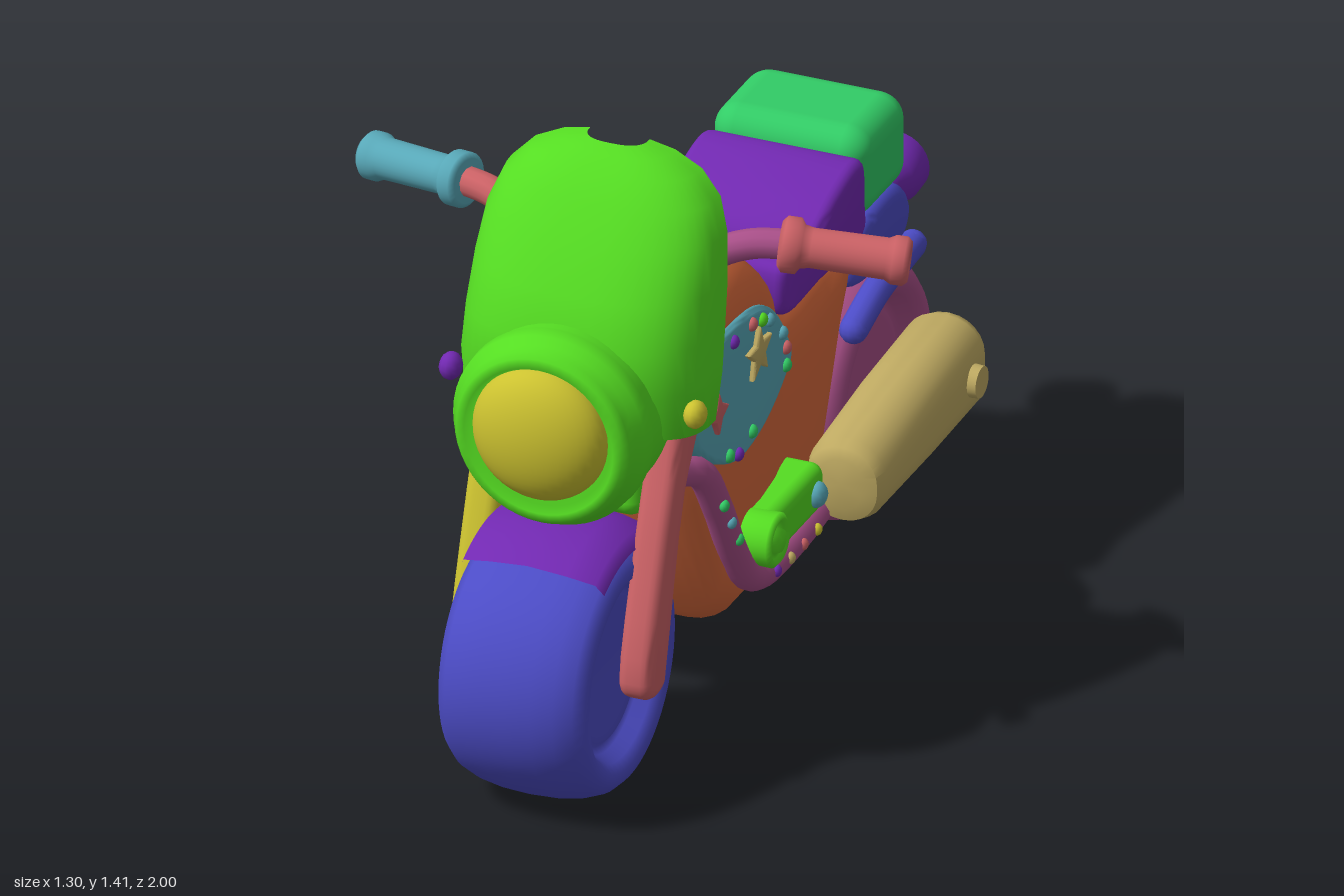
import * as THREE from 'three';
import { toCreasedNormals } from 'three/addons/utils/BufferGeometryUtils.js';
import { RoundedBoxGeometry } from 'three/addons/geometries/RoundedBoxGeometry.js';

const mat = (name, color, side = THREE.FrontSide) => {
  const m = new THREE.MeshStandardMaterial({ color, side });
  m.name = name;
  return m;
};
const V = (x, y, z) => new THREE.Vector3(x, y, z);

// Closed skin through rings of points, with fan caps when asked for
function loft(rings, caps = true) {
  const n = rings[0].length, pos = [], idx = [];
  rings.forEach(r => r.forEach(p => pos.push(p.x, p.y, p.z)));
  for (let k = 0; k < rings.length - 1; k++) for (let i = 0; i < n; i++) {
    const a = k * n + i, b = k * n + (i + 1) % n;
    idx.push(a, b, a + n, b, b + n, a + n);
  }
  if (caps) [0, rings.length - 1].forEach(k => {
    const c = pos.length / 3, m = V(0, 0, 0);
    rings[k].forEach(p => m.addScaledVector(p, 1 / n));
    pos.push(m.x, m.y, m.z);
    for (let i = 0; i < n; i++) {
      const a = k * n + i, b = k * n + (i + 1) % n;
      if (k) idx.push(c, a, b); else idx.push(c, b, a);
    }
  });
  const g = new THREE.BufferGeometry();
  g.setAttribute('position', new THREE.Float32BufferAttribute(pos, 3));
  g.setIndex(idx);
  return toCreasedNormals(g, 0.9);
}

// Rounded rectangle ring at a given z
function roundRing(z, yb, yt, w, rad) {
  const h = (yt - yb) / 2, cy = (yt + yb) / 2, r = Math.min(rad, h * 0.95, w * 0.95), pts = [];
  [[1, 1], [-1, 1], [-1, -1], [1, -1]].forEach(([sx, sy], q) => {
    for (let i = 0; i <= 6; i++) {
      const a = (q + i / 6) * Math.PI / 2;
      pts.push(V(sx * (w - r) + r * Math.cos(a), cy + sy * (h - r) + r * Math.sin(a), z));
    }
  });
  return pts;
}

// Side outline given as [z, y], extruded across x and centred on x = 0
function sideShape(points, width, bevel, smooth = true) {
  const shape = new THREE.Shape();
  const p = points.map(([z, y]) => new THREE.Vector2(-z, y));
  if (smooth) {
    const c = new THREE.CatmullRomCurve3(p.map(q => V(q.x, q.y, 0)), true, 'centripetal');
    shape.setFromPoints(c.getPoints(48).slice(0, -1).map(q => new THREE.Vector2(q.x, q.y)));
  } else shape.setFromPoints(p);
  const depth = width - 2 * bevel;
  const g = new THREE.ExtrudeGeometry(shape, {
    depth, bevelEnabled: bevel > 0, bevelThickness: bevel, bevelSize: bevel, bevelOffset: -bevel, bevelSegments: 4,
  });
  g.translate(0, 0, -depth / 2).rotateY(Math.PI / 2);
  return toCreasedNormals(g, 0.8);
}

const lathe = (pts, seg = 40, start = 0, len = Math.PI * 2) =>
  new THREE.LatheGeometry(pts.map(([r, h]) => new THREE.Vector2(r, h)), seg, start, len);

function star(cz, cy, points, r, inner) {
  const pts = [];
  for (let i = 0; i < points * 2; i++) {
    const a = Math.PI / 2 + i * Math.PI / points, q = i % 2 ? r * inner : r;
    pts.push([cz + q * Math.cos(a), cy + q * Math.sin(a)]);
  }
  return sideShape(pts, 0.03, 0.006, false);
}

export function createModel() {
  const model = new THREE.Group();
  model.name = 'motorcycle';
  const M = {
    green: mat('lime green', 0x55dd22), blue: mat('blue', 0x4c4cc6), pink: mat('mauve pink', 0xa84f88),
    orange: mat('orange', 0xd96a3c), teal: mat('teal', 0x58a8b8), tan: mat('tan', 0xbfaa62),
    red: mat('coral red', 0xcc6266), yellow: mat('yellow', 0xccc230),
    purple: mat('purple', 0x7229b2, THREE.DoubleSide), emerald: mat('emerald', 0x32cc66),
  };
  const add = (name, geo, color, x = 0, y = 0, z = 0) => {
    const m = new THREE.Mesh(geo, M[color]);
    m.name = name;
    m.position.set(x, y, z);
    model.add(m);
    return m;
  };
  const tube = (name, pts, r, color) => {
    add(name, new THREE.TubeGeometry(new THREE.CatmullRomCurve3(pts), 32, r, 12), color);
    [pts[0], pts[pts.length - 1]].forEach(p => add(name + 'End', new THREE.SphereGeometry(r, 12, 8), color, p.x, p.y, p.z));
  };
  const dot = (name, color, x, y, z, r = 0.016) =>
    add(name, new THREE.SphereGeometry(r, 12, 8), color, x, y, z).scale.x = 0.8;

  // Wheels: fat tyre with a recessed hub
  const half = [[0, 0.12], [0.15, 0.12], [0.165, 0.125], [0.175, 0.115], [0.19, 0.125], [0.205, 0.155],
    [0.225, 0.172], [0.25, 0.172], [0.272, 0.15], [0.288, 0.11], [0.297, 0.06]];
  const tyre = [...half.map(([r, h]) => [r, -h]), [0.3, 0], ...half.slice().reverse()];
  const wheel = () => lathe(tyre, 56).rotateZ(Math.PI / 2);
  add('frontWheel', wheel(), 'blue', 0, 0.3, 0.705).scale.set(1, 1, 0.98);
  add('rearWheel', wheel(), 'pink', 0, 0.31, -0.7).scale.set(0.97, 1.03, 1);
  add('frontFender', lathe([[0.285, -0.17], [0.318, -0.155], [0.332, -0.09], [0.343, 0], [0.332, 0.09], [0.318, 0.155],
    [0.285, 0.17]], 20, 1.08, 1.0).rotateZ(Math.PI / 2), 'purple', 0, 0.3, 0.705);

  // Tank and lower body in one lofted hull: z, bottom, top, half width
  const hull = [[-0.54, 0.68, 0.78, 0.16], [-0.46, 0.52, 0.78, 0.17], [-0.4, 0.36, 0.78, 0.17], [-0.33, 0.22, 0.78, 0.175],
    [-0.25, 0.175, 0.78, 0.18], [-0.11, 0.165, 0.79, 0.185], [-0.07, 0.165, 0.87, 0.19], [-0.02, 0.165, 0.96, 0.2],
    [0.08, 0.165, 1.03, 0.21], [0.18, 0.165, 1.055, 0.21], [0.28, 0.23, 1.06, 0.21], [0.38, 0.48, 1.05, 0.2],
    [0.44, 0.62, 1.035, 0.18], [0.47, 0.72, 1.0, 0.14]];
  add('body', loft(hull.map(h => roundRing(...h, 0.13))), 'orange');

  // Seat, backrest and tail
  add('seat', sideShape([[-0.1, 0.88], [-0.12, 0.9], [-0.25, 0.895], [-0.38, 0.94], [-0.5, 0.963], [-0.54, 0.95],
    [-0.55, 0.86], [-0.545, 0.775], [-0.3, 0.768], [-0.13, 0.77], [-0.105, 0.79]], 0.38, 0.025), 'purple');
  add('backrest', new RoundedBoxGeometry(0.37, 0.22, 0.265, 5, 0.06), 'emerald', 0, 0.893, -0.67);
  add('tail', sideShape([[-0.5, 0.66], [-0.53, 0.76], [-0.62, 0.79], [-0.77, 0.78], [-0.82, 0.71], [-0.79, 0.65],
    [-0.65, 0.63]], 0.36, 0.03), 'blue');

  // Headlight: stepped housing, domed lens and lower bracket
  add('headlightHousing', lathe([[0, 0.44], [0.18, 0.45], [0.215, 0.5], [0.22, 0.69], [0.228, 0.71], [0.226, 0.745],
    [0.207, 0.755], [0.206, 0.785], [0.195, 0.8], [0.175, 0.805], [0.16, 0.79], [0, 0.79]], 48).rotateX(Math.PI / 2),
  'green', 0, 0.875, 0);
  add('headlightLens', new THREE.SphereGeometry(0.157, 40, 24), 'yellow', 0, 0.89, 0.79).scale.z = 0.53;
  add('steeringBracket', new RoundedBoxGeometry(0.32, 0.14, 0.16, 4, 0.04), 'green', 0, 0.69, 0.54);

  // Windshield: curved shell, y, half width, front z, back z, thickness
  const shell = [[0.83, 0.27, 0.64, 0.52, 0], [0.84, 0.285, 0.67, 0.5, 0.03], [0.95, 0.292, 0.7, 0.48, 0.03],
    [1.05, 0.288, 0.69, 0.455, 0.03], [1.15, 0.283, 0.645, 0.43, 0.03], [1.25, 0.272, 0.58, 0.405, 0.03],
    [1.32, 0.245, 0.53, 0.38, 0.03], [1.37, 0.195, 0.485, 0.365, 0.03], [1.4, 0.13, 0.445, 0.36, 0.025], [1.412, 0.07, 0.41, 0.36, 0]];
  const arc = (y, w, zf, zb) => Array.from({ length: 25 }, (_, i) => {
    const a = (i / 24 - 0.5) * Math.PI, s = Math.sin(a);
    return V(w * Math.sign(s) * Math.abs(s) ** 0.75, y, zb + (zf - zb) * Math.max(0, Math.cos(a)) ** 0.75);
  });
  add('windshield', loft(shell.map(([y, w, zf, zb, t]) =>
    [...arc(y, w, zf, zb), ...arc(y, w - t, zf - t, zb).reverse()]), false), 'green');

  // Outlines shared by both sides
  const forkOutline = [[0.755, 0.3], [0.74, 0.262], [0.7, 0.25], [0.66, 0.265], [0.645, 0.31], [0.545, 0.68],
    [0.465, 0.82], [0.445, 0.98], [0.5, 1.0], [0.56, 0.9], [0.62, 0.74], [0.67, 0.6]];
  const panelOutline = [[0.465, 0.91], [0.43, 0.932], [0.27, 0.938], [0.12, 0.92], [0.03, 0.87], [-0.04, 0.78],
    [-0.065, 0.72], [-0.01, 0.665], [0.1, 0.61], [0.22, 0.595], [0.31, 0.625], [0.4, 0.68], [0.465, 0.75]];
  const panelDots = [[0.385, 0.9, 'tan'], [0.265, 0.905, 'purple'], [0.165, 0.9, 'red'], [0.11, 0.885, 'green'],
    [0.07, 0.865, 'teal'], [0.0, 0.8, 'teal'], [-0.02, 0.755, 'red'], [-0.02, 0.712, 'emerald'],
    [0.29, 0.64, 'emerald'], [0.24, 0.62, 'purple'], [0.165, 0.64, 'emerald']];
  const frameDots = [[0.385, 0.57, 'emerald'], [0.345, 0.51, 'teal'], [0.305, 0.45, 'emerald'], [0.1, 0.275, 'purple'],
    [0.025, 0.27, 'tan'], [-0.045, 0.27, 'red'], [-0.12, 0.27, 'yellow']];

  const sides = [
    { s: 1, n: 'left', fork: 'red', bar: 'pink', grip: 'red', bolt: 'yellow', panel: 'teal', star5: 'tan', star4: 'red',
      frame: 'pink', engine: 'green', cap: 'teal', muffler: 'tan', strut: 'blue', lamp: 'purple' },
    { s: -1, n: 'right', fork: 'yellow', bar: 'red', grip: 'teal', bolt: 'purple', panel: 'tan', star5: 'purple', star4: 'emerald',
      frame: 'orange', engine: 'orange', cap: 'orange', muffler: 'teal', strut: 'emerald', lamp: 'emerald' },
  ];
  for (const c of sides) {
    const { s, n } = c, P = (x, y, z) => V(s * x, y, z);

    // Fork leg and windshield bolt
    add(n + 'Fork', sideShape(forkOutline, 0.08, 0.025), c.fork, s * 0.2);
    dot(n + 'WindshieldBolt', c.bolt, s * 0.287, 0.91, 0.615, 0.032);

    // Handlebar and grip
    tube(n + 'Handlebar', [P(0.1, 0.98, 0.43), P(0.15, 1.08, 0.405), P(0.22, 1.165, 0.375), P(0.3, 1.2, 0.35), P(0.4, 1.207, 0.325)], 0.034, c.bar);
    const from = P(0.365, 1.208, 0.335), dir = P(0.635, 1.18, 0.255).sub(from), L = dir.length();
    const grip = add(n + 'Grip', lathe([[0, 0], [0.05, 0], [0.062, 0.01], [0.062, 0.04], [0.048, 0.05], [0.044, 0.07],
      [0.046, L - 0.05], [0.054, L - 0.035], [0.054, L - 0.01], [0.045, L], [0.025, L], [0.022, L - 0.01], [0, L - 0.01]], 28), c.grip);
    grip.position.copy(from);
    grip.quaternion.setFromUnitVectors(V(0, 1, 0), dir.normalize());

    // Tank panel with stars and studs
    add(n + 'TankPanel', sideShape(panelOutline, 0.06, 0.015), c.panel, s * 0.195);
    add(n + 'FivePointStar', star(0.14, 0.82, 5, 0.065, 0.45), c.star5, s * 0.223);
    add(n + 'FourPointStar', star(0.365, 0.78, 4, 0.052, 0.5).rotateX(0), c.star4, s * 0.223);
    panelDots.forEach(([z, y, col]) => dot(n + 'PanelStud', col, s * 0.226, y, z));

    // Frame tube with studs
    tube(n + 'FrameTube', [P(0.19, 0.69, 0.49), P(0.215, 0.665, 0.43), P(0.225, 0.55, 0.355), P(0.225, 0.4, 0.27),
      P(0.225, 0.31, 0.2), P(0.225, 0.272, 0.12), P(0.225, 0.268, -0.1), P(0.215, 0.27, -0.24)], 0.034, c.frame);
    frameDots.forEach(([z, y, col]) => dot(n + 'FrameStud', col, s * 0.256, y, z, 0.014));

    // Engine cover
    add(n + 'EngineCover', new RoundedBoxGeometry(0.12, 0.115, 0.3, 4, 0.03), c.engine, s * 0.21, 0.375, 0.01);
    add(n + 'EngineDrum', lathe([[0, -0.06], [0.06, -0.06], [0.062, 0.055], [0.05, 0.065], [0.042, 0.055], [0.03, 0.055],
      [0.025, 0.068], [0, 0.07]], 28).rotateZ(-s * Math.PI / 2), c.engine, s * 0.22, 0.375, 0.145);
    dot(n + 'EngineCap', c.cap, s * 0.27, 0.375, -0.085, 0.03);

    // Muffler with a round side cap
    const can = [[-0.79, 0.3, 0.46, 0.05], [-0.78, 0.27, 0.485, 0.085], [-0.755, 0.262, 0.492, 0.095], [-0.5, 0.255, 0.475, 0.095],
      [-0.23, 0.252, 0.445, 0.092], [-0.2, 0.26, 0.435, 0.082], [-0.19, 0.29, 0.41, 0.05]];
    add(n + 'Muffler', loft(can.map(h => roundRing(...h, 0.085))), c.muffler, s * 0.28);
    add(n + 'MufflerCap', new THREE.CylinderGeometry(0.036, 0.04, 0.06, 24).rotateZ(-s * Math.PI / 2), c.muffler, s * 0.365, 0.38, -0.695);

    // Tail strut and tail lamp
    tube(n + 'TailStrut', [P(0.195, 0.58, -0.46), P(0.2, 0.62, -0.56), P(0.2, 0.635, -0.68), P(0.195, 0.635, -0.78)], 0.032, c.strut);
    add(n + 'TailLamp', lathe([[0, 0], [0.035, 0], [0.05, 0.04], [0.068, 0.07], [0.076, 0.1], [0.074, 0.145], [0.062, 0.16],
      [0.048, 0.155], [0.04, 0.125], [0, 0.12]], 28).rotateX(-Math.PI / 2), c.lamp, s * 0.088, 0.73, -0.805);
  }
  add('rearBodyStar', star(-0.4, 0.66, 5, 0.06, 0.5), 'teal', -0.175);
  return model;
}
